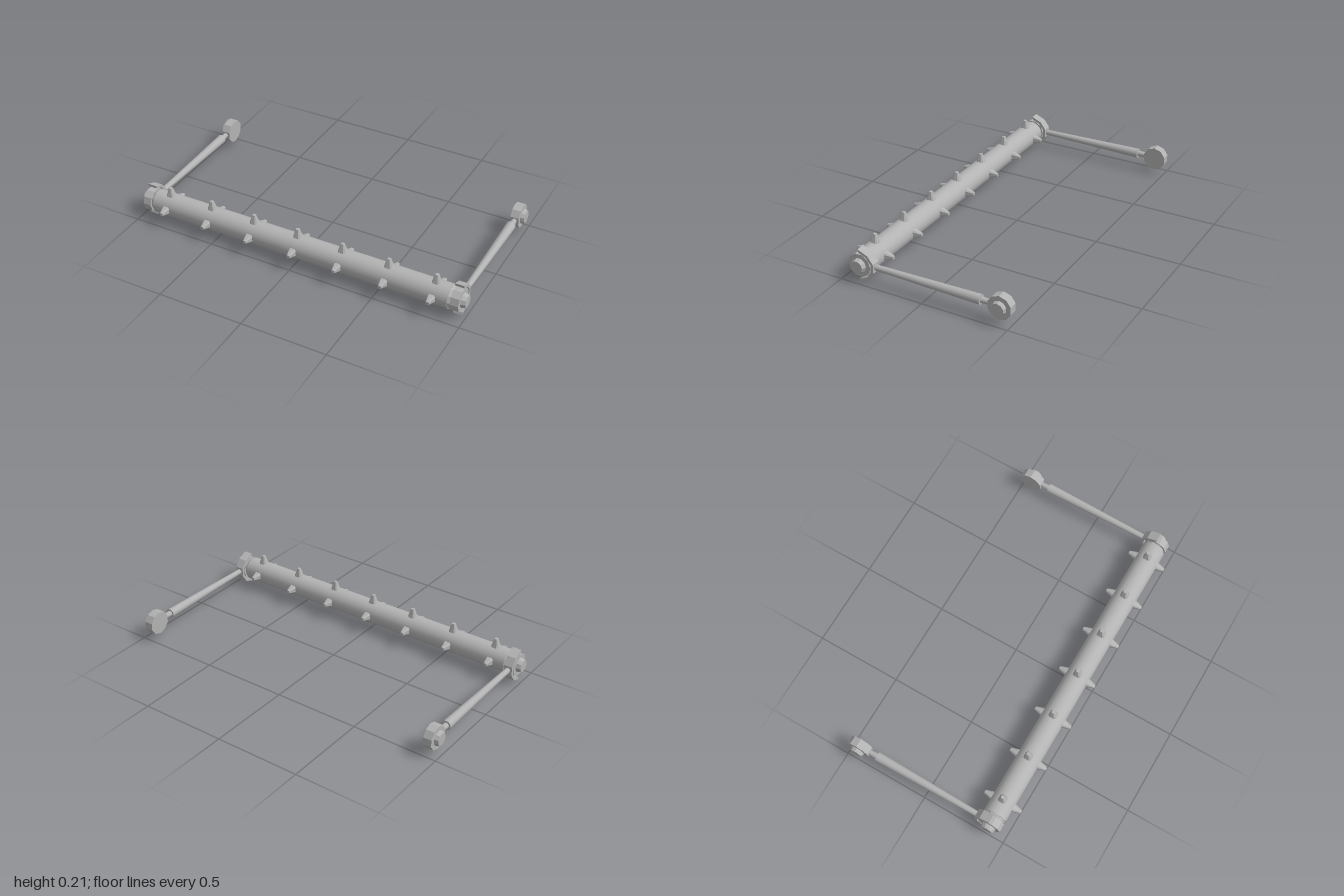
import * as THREE from 'three';

const AXIS_Y = 0.098, BAR_Z = 0.397, WHEEL_Z = -0.44, ARM_X = 0.95;

export function createModel() {
  const model = new THREE.Group();
  const steel = new THREE.MeshStandardMaterial({ color: 0xb3b3b3 });
  steel.name = 'greySteel';

  const add = (name, geometry, x, y, z, parent = model) => {
    const mesh = new THREE.Mesh(geometry, steel);
    mesh.name = name;
    mesh.position.set(x, y, z);
    parent.add(mesh);
    return mesh;
  };
  const flat = (geometry) => {
    const g = geometry.toNonIndexed();
    g.computeVertexNormals();
    return g;
  };
  // Faceted disc lying along x; rOut is the radius on the +x side
  const disc = (rOut, rIn, width, sides = 10, start = 0) =>
    flat(new THREE.CylinderGeometry(rIn, rOut, width, sides, 1, false, start).rotateZ(Math.PI / 2));

  // Long round bar
  add('bar', new THREE.CylinderGeometry(0.068, 0.068, 1.82, 24).rotateZ(Math.PI / 2), 0, AXIS_Y, BAR_Z);

  // Blunt spikes with a chamfered square section
  const spikeGeometry = new THREE.CylinderGeometry(0.011, 0.029, 0.055, 8);
  const p = spikeGeometry.attributes.position;
  for (let i = 0; i < p.count; i++) {
    const r = Math.hypot(p.getX(i), p.getZ(i));
    if (r < 1e-6) continue;
    const k = Math.round(Math.atan2(p.getZ(i), p.getX(i)) / (Math.PI / 4));
    const corner = Math.floor(k / 2) * Math.PI / 2 + Math.PI / 4;
    const a = corner + (k % 2 === 0 ? -0.24 : 0.24);
    p.setXYZ(i, r * Math.cos(a), p.getY(i), r * Math.sin(a));
  }
  const spike = flat(spikeGeometry);
  const spikes = new THREE.Group();
  spikes.name = 'spikes';
  model.add(spikes);
  for (let i = -3; i <= 3; i++) {
    for (const angle of [-Math.PI / 2, 0, Math.PI / 2]) {
      const s = add('spike', spike, i * 0.274,
        AXIS_Y + Math.cos(angle) * 0.086, BAR_Z + Math.sin(angle) * 0.086, spikes);
      s.rotation.x = angle;
    }
  }

  // Open cradle wrapped around the rear half of each bar end
  const outer = [[0.004, 0.095], [-0.056, 0.07], [-0.088, 0.026], [-0.088, -0.026], [-0.056, -0.072], [0.006, -0.098]];
  const inner = [[0.0, -0.081], [-0.045, -0.059], [-0.073, -0.022], [-0.073, 0.022], [-0.045, 0.057], [0.0, 0.077]];
  const cradleShape = new THREE.Shape([...outer, ...inner].map(([z, y]) => new THREE.Vector2(z, y)));
  const cradle = new THREE.ExtrudeGeometry(cradleShape, { depth: 0.052, bevelEnabled: false });
  cradle.translate(0, 0, -0.026).rotateY(-Math.PI / 2);

  for (const side of [1, -1]) {
    const end = new THREE.Group();
    end.name = side > 0 ? 'leftEnd' : 'rightEnd';
    model.add(end);
    const part = (name, geometry, x, z) => {
      const m = add(name, geometry, side * x, AXIS_Y, z, end);
      if (side < 0) m.rotation.y = Math.PI; // turn the outer face outward
      return m;
    };
    // Bar end
    part('barCollar', disc(0.055, 0.066, 0.02), 0.92, BAR_Z);
    part('barEndDisc', disc(0.068, 0.068, 0.048), ARM_X, BAR_Z);
    part('axleCap', disc(0.035, 0.043, 0.026), 0.987, BAR_Z);
    add('cradle', cradle, side * ARM_X, AXIS_Y, BAR_Z, end);

    // Tapered arm and its thin piston rod
    const along = (rFront, rBack, length) =>
      new THREE.CylinderGeometry(rFront, rBack, length, 12).rotateX(Math.PI / 2);
    add('arm', along(0.016, 0.028, 0.645), side * ARM_X, AXIS_Y, -0.003, end);
    add('rod', along(0.018, 0.014, 0.07), side * ARM_X, AXIS_Y, -0.352, end);

    // Rear pivot
    part('pivotDisc', disc(0.069, 0.069, 0.05, 10, Math.PI / 2), ARM_X, WHEEL_Z);
    part('pivotCap', disc(0.036, 0.043, 0.024, 10, Math.PI / 2), 0.985, WHEEL_Z);
  }
  return model;
}
